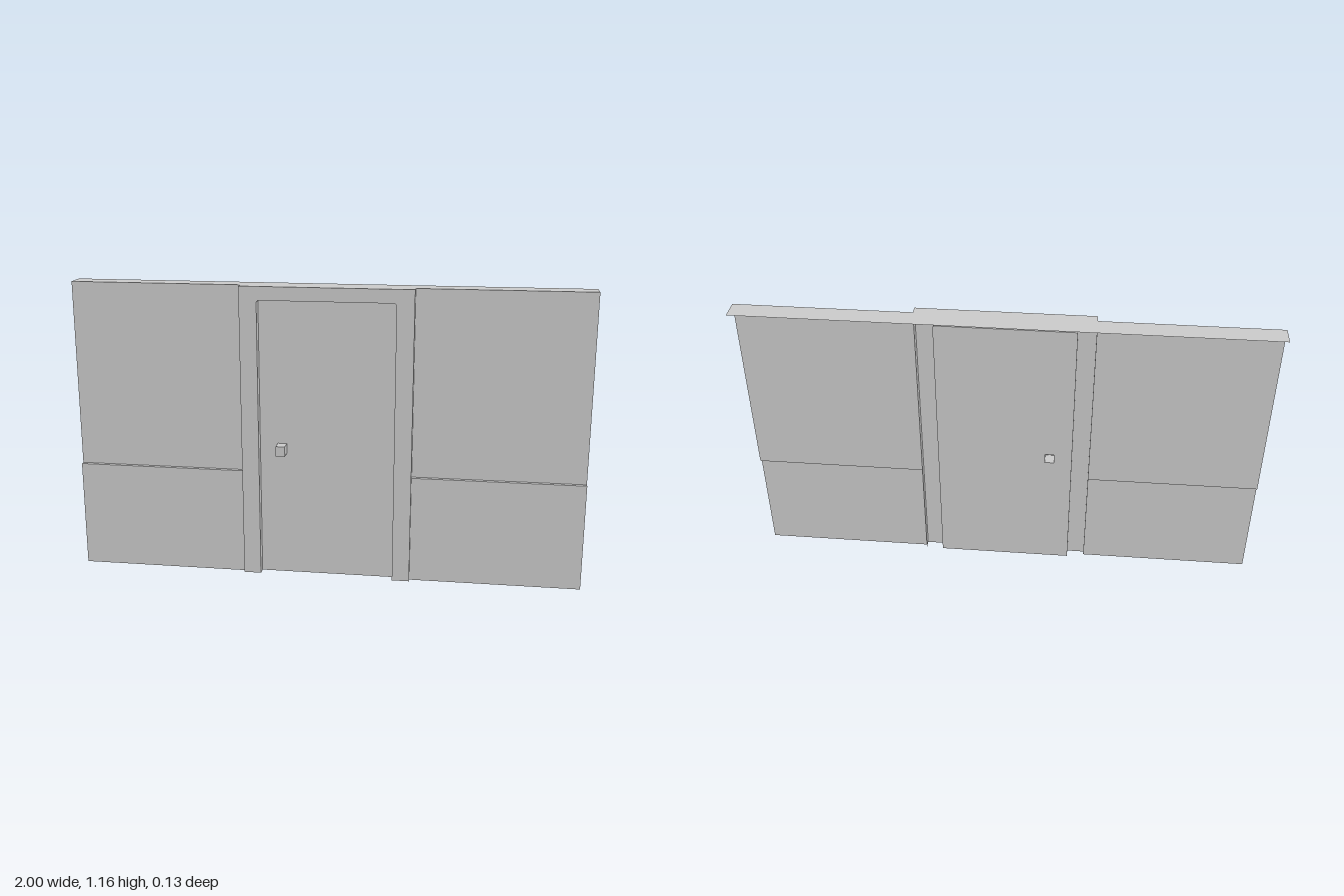
import * as THREE from 'three';

const material = new THREE.MeshStandardMaterial({ color: 0xcccccc, side: THREE.DoubleSide, flatShading: true });

const H = 1.16, FRAME_X = 0.333, DOOR_X = 0.265, DOOR_TOP = 1.107, R = 0.01;
const Z_BACK = -0.065, Z_WALL = 0.016, Z_LOWER = 0.032, Z_FRAME = 0.049, Z_KNOB = 0.064;
const RAIL_Y = 0.425;

export function createModel() {
  const group = new THREE.Group();

  const add = (name, geometry) => {
    const mesh = new THREE.Mesh(geometry, material);
    mesh.name = name;
    group.add(mesh);
  };

  // flat sheet facing +z
  const sheet = (name, shape, z) => add(name, new THREE.ShapeGeometry(shape).translate(0, 0, z));

  // flat sheet facing up, outline given as [x, z]
  const level = (name, outline, y) => {
    const shape = new THREE.Shape(outline.map(([x, z]) => new THREE.Vector2(x, -z)));
    add(name, new THREE.ShapeGeometry(shape).rotateX(-Math.PI / 2).translate(0, y, 0));
  };

  // strip that follows an xy path from depth z0 to z1
  const strip = (name, path, z0, z1) => {
    const positions = [], index = [];
    path.forEach(({ x, y }, i) => {
      positions.push(x, y, z0, x, y, z1);
      if (i) {
        const a = 2 * i - 2;
        index.push(a, a + 2, a + 1, a + 1, a + 2, a + 3);
      }
    });
    const geometry = new THREE.BufferGeometry();
    geometry.setAttribute('position', new THREE.Float32BufferAttribute(positions, 3));
    geometry.setIndex(index);
    const flat = geometry.toNonIndexed();
    flat.computeVertexNormals();
    add(name, flat);
  };

  const rect = (x0, y0, x1, y1) => new THREE.Shape(
    [[x0, y0], [x1, y0], [x1, y1], [x0, y1]].map(([x, y]) => new THREE.Vector2(x, y)));
  const v = (x, y) => new THREE.Vector2(x, y);

  // walls either side of the door, with a thicker lower panel
  for (const [side, x0, x1] of [['left', FRAME_X, 1], ['right', -1, -FRAME_X]]) {
    sheet(side + 'UpperWall', rect(x0, RAIL_Y, x1, H), Z_WALL);
    sheet(side + 'LowerWall', rect(x0, 0, x1, RAIL_Y), Z_LOWER);
    level(side + 'WallLedge', [[x0, Z_WALL], [x0, Z_LOWER], [x1, Z_LOWER], [x1, Z_WALL]], RAIL_Y);
  }

  // door opening with slightly rounded top corners
  const opening = [v(-DOOR_X, 0)];
  for (const [cx, start] of [[-DOOR_X + R, Math.PI], [DOOR_X - R, Math.PI / 2]])
    for (let i = 0; i <= 4; i++) {
      const a = start - i * Math.PI / 8;
      opening.push(v(cx + R * Math.cos(a), DOOR_TOP - R + R * Math.sin(a)));
    }
  opening.push(v(DOOR_X, 0));

  // door frame: front, outer sides and inner reveal
  sheet('frameFront', new THREE.Shape(
    [v(-FRAME_X, 0), ...opening, v(FRAME_X, 0), v(FRAME_X, H), v(-FRAME_X, H)]), Z_FRAME);
  strip('frameRightSide', [v(-FRAME_X, H), v(-FRAME_X, 0)], Z_WALL, Z_FRAME);
  strip('frameLeftSide', [v(FRAME_X, 0), v(FRAME_X, H)], Z_WALL, Z_FRAME);
  strip('frameReveal', opening, Z_WALL, Z_FRAME);

  // door leaf, open behind the handle
  const kx0 = -0.195, kx1 = -0.159, ky0 = 0.5, ky1 = 0.54;
  const door = new THREE.Shape(opening);
  door.holes.push(rect(kx0, ky0, kx1, ky1));
  sheet('door', door, Z_WALL);

  // hollow block handle
  sheet('handleFront', rect(kx0, ky0, kx1, ky1), Z_KNOB);
  strip('handleSides', [v(kx0, ky0), v(kx1, ky0), v(kx1, ky1), v(kx0, ky1), v(kx0, ky0)], Z_WALL, Z_KNOB);

  // top of the wall, stepping forward over the frame
  level('wallTop', [
    [-1, Z_BACK], [-1, Z_WALL], [-FRAME_X, Z_WALL], [-FRAME_X, Z_FRAME],
    [FRAME_X, Z_FRAME], [FRAME_X, Z_WALL], [1, Z_WALL], [1, Z_BACK],
  ], H);

  return group;
}
